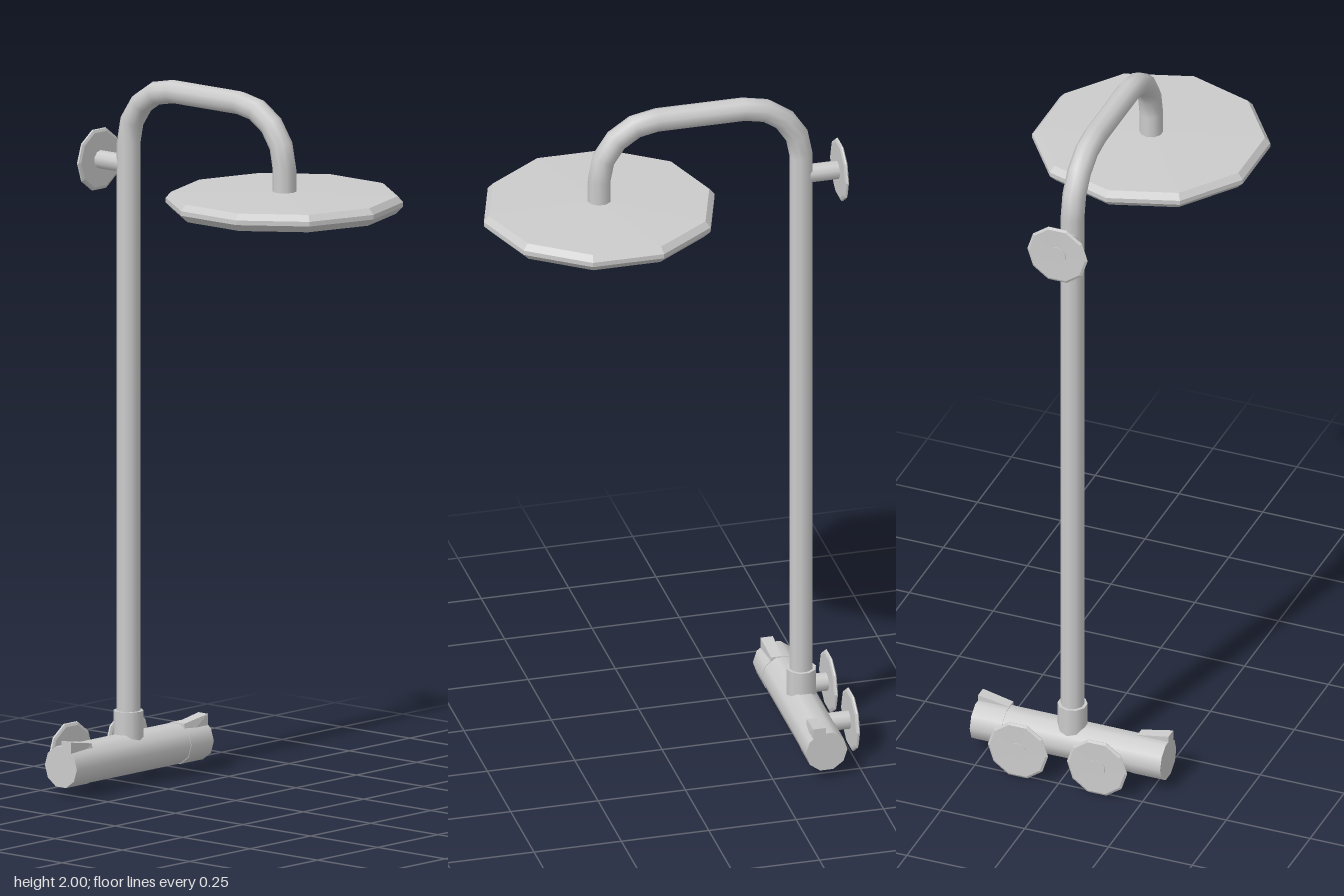
import * as THREE from 'three';

const SIDES = 10;
const PIPE_X = -0.398, ARM_X = 0.18, TOP_Y = 1.967, BEND = 0.165, PIPE_R = 0.033;
const VALVE_X = -0.395, VALVE_Y = 0.085;

export function createModel() {
  const model = new THREE.Group();
  model.name = 'showerColumn';
  const smooth = new THREE.MeshStandardMaterial({ color: 0xcccccc });
  const flat = new THREE.MeshStandardMaterial({ color: 0xcccccc, flatShading: true });

  const add = (name, geometry, material, x = 0, y = 0, z = 0) => {
    const mesh = new THREE.Mesh(geometry, material);
    mesh.name = name;
    mesh.position.set(x, y, z);
    model.add(mesh);
    return mesh;
  };
  // Ten-sided rod with corners on both ends of its x axis
  const rod = (r, length) =>
    new THREE.CylinderGeometry(r, r, length, SIDES, 1, false, Math.PI / 2);
  const lathe = (points, start) =>
    new THREE.LatheGeometry(points.map(([r, y]) => new THREE.Vector2(r, y)), SIDES, start);

  // Riser pipe, two bends, overhead arm and drop to the head
  const bendY = TOP_Y - BEND;
  add('riserPipe', rod(PIPE_R, bendY - 0.1), smooth, PIPE_X, (bendY + 0.1) / 2);
  const bend = new THREE.TorusGeometry(BEND, PIPE_R, SIDES, 4, Math.PI / 2);
  add('rearBend', bend, smooth, PIPE_X + BEND, bendY).rotation.z = Math.PI / 2;
  add('frontBend', bend, smooth, ARM_X - BEND, bendY);
  const armLength = ARM_X - PIPE_X - 2 * BEND;
  add('overheadArm', rod(PIPE_R, armLength), smooth, (PIPE_X + ARM_X) / 2, TOP_Y)
    .rotation.z = Math.PI / 2;
  add('headDrop', rod(PIPE_R, bendY - 1.72), smooth, ARM_X, (bendY + 1.72) / 2);

  // Rain head with bevelled rim
  add('rainHead', lathe([
    [0, 0], [0.31, 0], [0.33, 0.02], [0.33, 0.033], [0.315, 0.05], [0, 0.058],
  ], Math.PI / 2), flat, ARM_X, 1.682);

  // Collar joining riser and valve
  add('collar', rod(0.042, 0.1), smooth, PIPE_X, 0.155);

  // Valve body
  add('valveBody', rod(0.058, 0.384), smooth, VALVE_X, VALVE_Y).rotation.x = Math.PI / 2;

  for (const side of [-1, 1]) {
    // End handle with a grip ridge that rises toward its outer end
    add('handle', rod(0.0595, 0.093), smooth, VALVE_X, VALVE_Y, side * 0.2375)
      .rotation.x = Math.PI / 2;
    const ridge = new THREE.BoxGeometry(0.036, 0.06, 0.093);
    const p = ridge.attributes.position;
    for (let i = 0; i < p.count; i++) {
      if (p.getY(i) > 0) {
        const outer = p.getZ(i) * side > 0;
        p.setY(i, outer ? 0.03 : 0.014);
        if (p.getX(i) > 0) p.setX(i, outer ? 0.018 : 0.012);
      }
    }
    add('handleRidge', ridge, flat, VALVE_X + 0.02, 0.129, side * 0.2375);
  }

  // Wall mounts: a thin bevelled rose and a stem reaching to the column
  const rose = lathe([
    [0, 0.001], [0.083, 0], [0.09, 0.004], [0.088, 0.008], [0.08, 0.011], [0, 0.011],
  ], 0);
  const stem = rod(0.026, 0.1);
  for (const [y, z] of [[1.742, 0], [0.087, -0.118], [0.087, 0.118]]) {
    add('wallRose', rose, flat, -0.513, y, z).rotation.z = -Math.PI / 2;
    add('wallStem', stem, smooth, -0.464, y, z).rotation.z = -Math.PI / 2;
  }
  return model;
}
